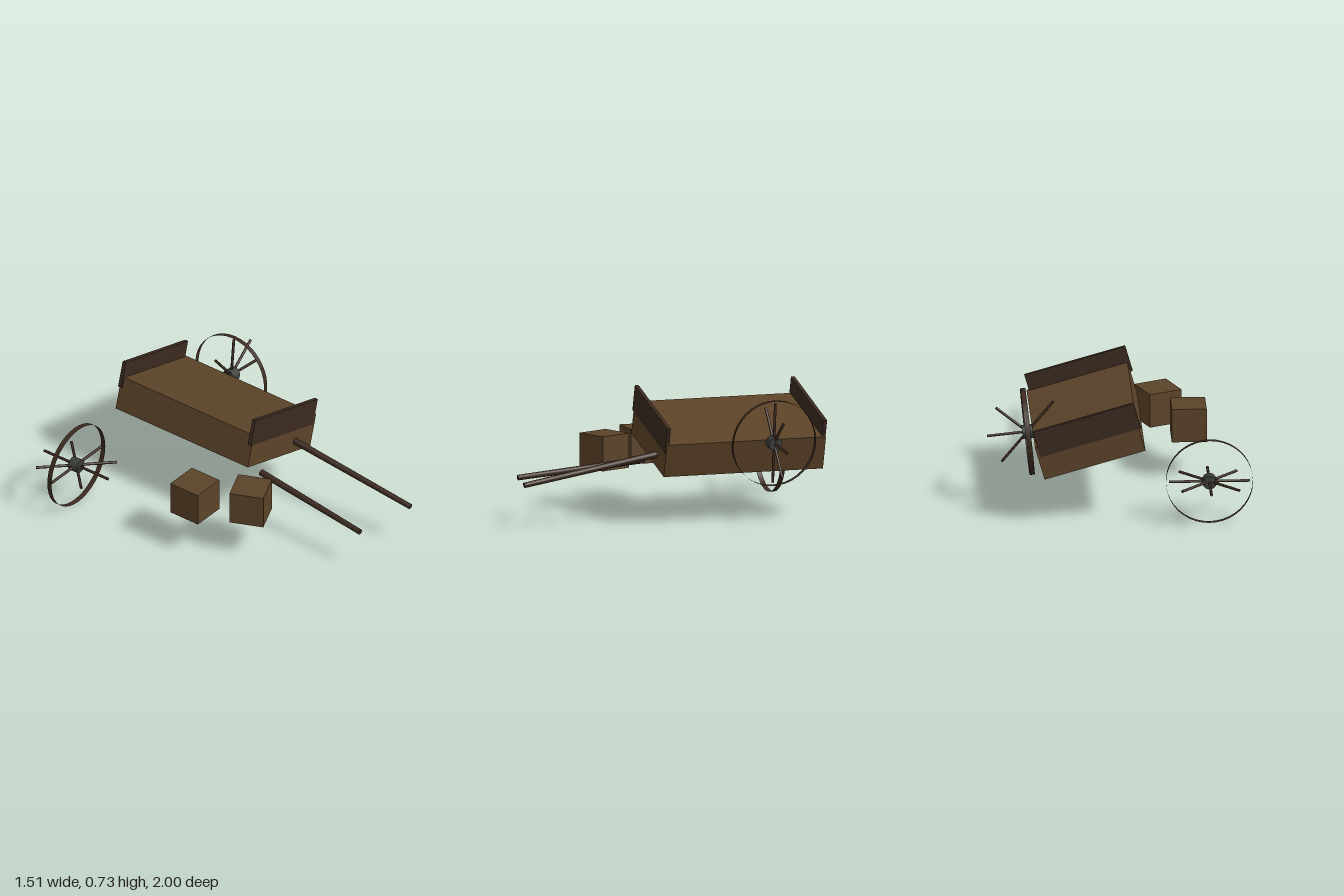
import * as THREE from 'three';

const mat = (name, color, side = THREE.FrontSide) => {
  const m = new THREE.MeshStandardMaterial({ color, side });
  m.name = name;
  return m;
};

export function createModel() {
  const model = new THREE.Group();
  model.name = 'brokenCart';
  const wood = mat('wood', 0x5c4329);
  const darkWood = mat('darkWood', 0x3b2a20, THREE.DoubleSide);
  const iron = mat('iron', 0x3c3f3c);

  const add = (parent, name, geo, material, x = 0, y = 0, z = 0) => {
    const mesh = new THREE.Mesh(geo, material);
    mesh.name = name;
    mesh.position.set(x, y, z);
    parent.add(mesh);
    return mesh;
  };

  // Tilted cart bed with a raised board at each end
  const cart = new THREE.Group();
  cart.name = 'cartBed';
  cart.position.set(0.177, 0.455, -0.29);
  cart.rotation.z = -0.279;
  model.add(cart);
  add(cart, 'bed', new THREE.BoxGeometry(0.6, 0.2, 0.96), wood);
  for (const [name, s] of [['frontBoard', 1], ['backBoard', -1]]) {
    add(cart, name, new THREE.BoxGeometry(0.6, 0.157, 0.022), darkWood, -0.014, 0.118, s * 0.471);
  }

  // Pull shafts
  const shaft = (name, from, to) => {
    const a = new THREE.Vector3(...from), b = new THREE.Vector3(...to);
    const dir = b.clone().sub(a);
    const mid = a.clone().add(b).multiplyScalar(0.5);
    const geo = new THREE.CylinderGeometry(0.016, 0.02, dir.length(), 12);
    const mesh = add(model, name, geo, darkWood, mid.x, mid.y, mid.z);
    mesh.quaternion.setFromUnitVectors(new THREE.Vector3(0, 1, 0), dir.normalize());
  };
  shaft('leftShaft', [0.297, 0.392, 0.15], [0.337, 0.255, 0.998]);
  shaft('rightShaft', [0.017, 0.311, 0.165], [-0.023, 0.24, 0.915]);

  // Wheel: thin hoop around y, with broken spokes fanned in the xy plane
  const wheel = (name) => {
    const g = new THREE.Group();
    g.name = name;
    add(g, 'rim', new THREE.CylinderGeometry(0.249, 0.249, 0.03, 40, 1, true), darkWood);
    add(g, 'hub', new THREE.CylinderGeometry(0.04, 0.04, 0.06, 16), iron);
    for (let i = 0; i < 4; i++) {
      add(g, 'spokePair', new THREE.CylinderGeometry(0.008, 0.008, 0.464, 8), darkWood)
        .rotation.z = i * Math.PI / 4;
    }
    model.add(g);
    return g;
  };
  const cartWheel = wheel('cartWheel');
  cartWheel.position.set(0.52, 0.452, -0.447);
  cartWheel.rotation.z = -Math.PI / 2 - 0.1;
  const looseWheel = wheel('looseWheel');
  looseWheel.position.set(-0.505, 0.249, -0.768);
  looseWheel.rotation.x = Math.PI / 2;

  // Spilled crates
  for (const [x, z, turn] of [[-0.425, 0.03, 0], [-0.265, 0.31, 0.41]]) {
    add(model, 'crate', new THREE.BoxGeometry(0.2, 0.2, 0.2), wood, x, 0.33, z).rotation.y = turn;
  }
  return model;
}
